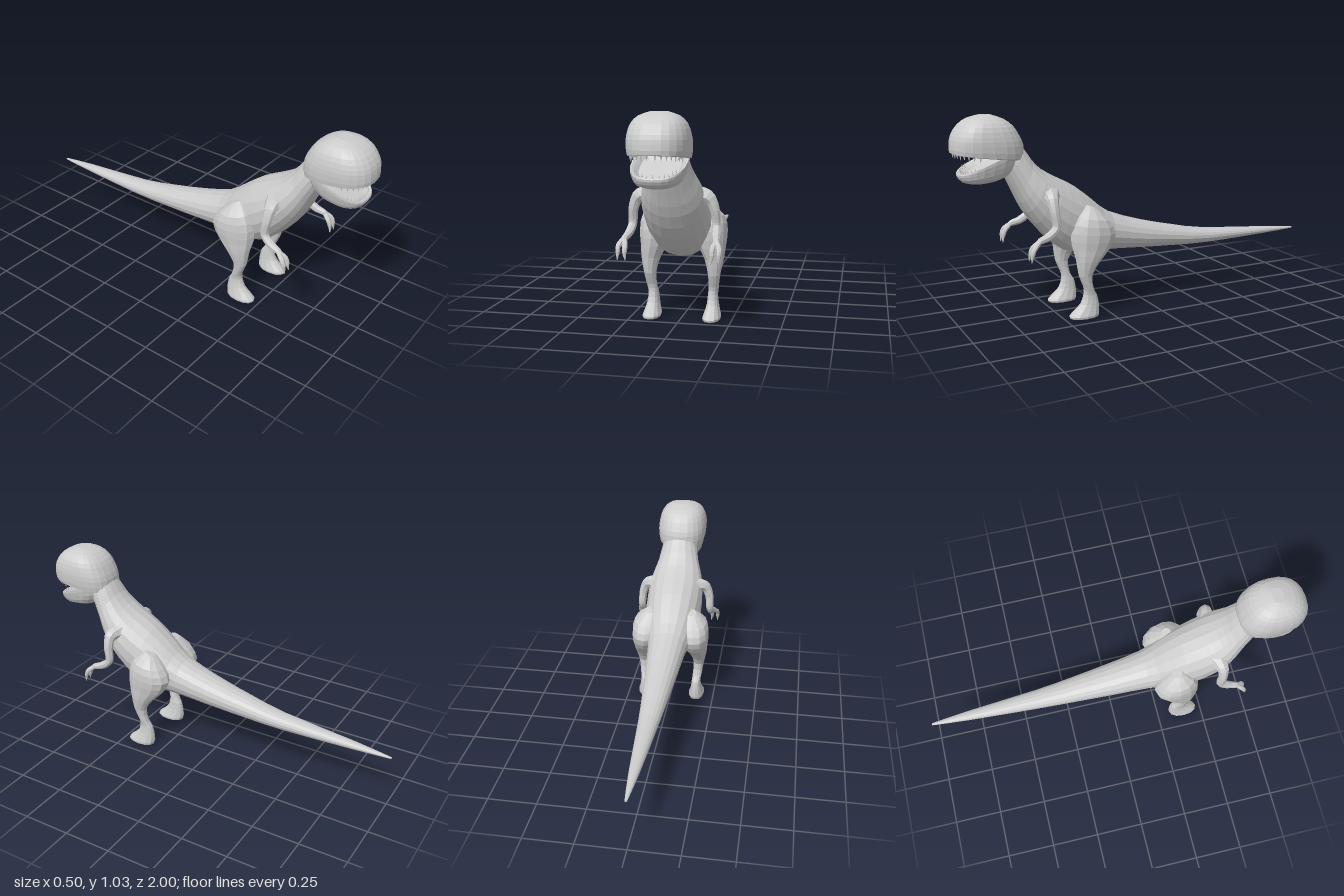
import * as THREE from 'three';

const material = new THREE.MeshStandardMaterial({ color: 0xcccccc, flatShading: true, side: THREE.DoubleSide });

// A section is [z1, y1, z2, y2, halfWidth, centreX]: a rounded ring between two points of the side profile.
function ringPoint(s, angle, power) {
  const soft = (v) => Math.sign(v) * Math.abs(v) ** (2 / power);
  const c = soft(Math.cos(angle)) / 2;
  return new THREE.Vector3(
    (s[5] || 0) + soft(Math.sin(angle)) * s[4],
    (s[1] + s[3]) / 2 + c * (s[1] - s[3]),
    (s[0] + s[2]) / 2 + c * (s[0] - s[2])
  );
}

// Smooth in-between sections
function refine(sections, steps) {
  const out = [];
  const last = sections.length - 1;
  for (let i = 0; i < last; i++) {
    const [a, b, c, d] = [i - 1, i, i + 1, i + 2].map((k) => sections[Math.min(last, Math.max(0, k))]);
    for (let j = 0; j < steps; j++) {
      const t = j / steps;
      out.push(b.map((v, k) => v + 0.5 * t * (c[k] - a[k] + t * (2 * a[k] - 5 * v + 4 * c[k] - d[k]
        + t * (3 * (v - c[k]) + d[k] - a[k])))));
    }
  }
  out.push(sections[last]);
  return out;
}

// Closed skin over a row of sections
function loft(name, sections, sides, steps, power) {
  const rings = refine(sections, steps);
  const pos = [];
  const index = [];
  for (const s of rings) {
    for (let j = 0; j < sides; j++) pos.push(...ringPoint(s, (j / sides) * Math.PI * 2, power).toArray());
  }
  for (let i = 0; i < rings.length - 1; i++) {
    for (let j = 0; j < sides; j++) {
      const a = i * sides + j;
      const b = i * sides + (j + 1) % sides;
      index.push(a, a + sides, b, b, a + sides, b + sides);
    }
  }
  const end = (rings.length - 1) * sides;
  for (const [start, s, flip] of [[0, rings[0], false], [end, rings[rings.length - 1], true]]) {
    const centre = pos.length / 3;
    pos.push(s[5] || 0, (s[1] + s[3]) / 2, (s[0] + s[2]) / 2);
    for (let j = 0; j < sides; j++) {
      const a = start + j;
      const b = start + (j + 1) % sides;
      index.push(centre, flip ? b : a, flip ? a : b);
    }
  }
  const geometry = new THREE.BufferGeometry();
  geometry.setAttribute('position', new THREE.Float32BufferAttribute(pos, 3));
  geometry.setIndex(index);
  return finish(name, geometry);
}

// Tapering tube through points [x, y, z, radius]
function limb(name, points, side) {
  const curve = new THREE.CatmullRomCurve3(points.map((p) => new THREE.Vector3(p[0] * side, p[1], p[2])));
  const n = 4 * (points.length - 1);
  const geometry = new THREE.TubeGeometry(curve, n, 1, 8);
  const p = geometry.attributes.position;
  const v = new THREE.Vector3();
  for (let i = 0; i <= n; i++) {
    const centre = curve.getPointAt(i / n);
    const k = Math.min(points.length - 2, Math.floor(i / 4));
    const r = THREE.MathUtils.lerp(points[k][3], points[k + 1][3], i / 4 - k);
    for (let j = i * 9; j < i * 9 + 9; j++) {
      v.fromBufferAttribute(p, j).sub(centre).multiplyScalar(r).add(centre);
      p.setXYZ(j, v.x, v.y, v.z);
    }
  }
  return finish(name, geometry);
}

function finish(name, geometry) {
  geometry.computeVertexNormals();
  const mesh = new THREE.Mesh(geometry, material);
  mesh.name = name;
  return mesh;
}

// Row of cone teeth along a lip section
function teeth(name, lip, count, spread, direction) {
  const row = new THREE.Group();
  row.name = name;
  for (let i = 0; i < count; i++) {
    const angle = ((i + 0.5) / count * 2 - 1) * spread;
    const tooth = finish('tooth', new THREE.ConeGeometry(0.006, i % 2 ? 0.03 : 0.024, 6));
    tooth.position.copy(ringPoint(lip, angle, 2.5));
    tooth.position.y += direction * 0.008;
    if (direction < 0) tooth.rotation.x = Math.PI;
    row.add(tooth);
  }
  return row;
}

export function createModel() {
  const model = new THREE.Group();
  model.name = 'dinosaur';

  // Tail, trunk and neck in one skin: top and bottom of each section
  model.add(loft('bodyAndTail', [
    [-1, 0.285, -1, 0.277, 0.006],
    [-0.8, 0.308, -0.8, 0.27, 0.026],
    [-0.4, 0.345, -0.42, 0.263, 0.053],
    [-0.2, 0.385, -0.2, 0.272, 0.07],
    [0, 0.435, 0, 0.285, 0.088],
    [0.19, 0.5, 0.2, 0.3, 0.107],
    [0.28, 0.57, 0.33, 0.305, 0.135],
    [0.38, 0.65, 0.44, 0.32, 0.153],
    [0.48, 0.705, 0.56, 0.42, 0.158],
    [0.555, 0.75, 0.65, 0.54, 0.145],
    [0.61, 0.805, 0.7, 0.64, 0.118],
    [0.65, 0.865, 0.75, 0.745, 0.1],
    [0.7, 0.89, 0.78, 0.8, 0.08],
  ], 18, 2, 2.1));

  // Skull, from the crown to the upper lip and the hollow palate
  model.add(loft('skull', [
    [0.86, 1.03, 0.8, 1.03, 0.04],
    [0.915, 1.015, 0.745, 1.01, 0.088],
    [0.96, 0.985, 0.7, 0.975, 0.119],
    [0.99, 0.94, 0.672, 0.93, 0.134],
    [1.0, 0.9, 0.652, 0.88, 0.138],
    [1.0, 0.857, 0.65, 0.815, 0.132],
    [0.98, 0.858, 0.67, 0.815, 0.112],
    [0.96, 0.875, 0.69, 0.83, 0.095],
  ], 24, 2, 2.5));

  // Lower jaw, from the hollow floor over the lip to the chin
  model.add(loft('lowerJaw', [
    [0.93, 0.738, 0.7, 0.845, 0.09],
    [0.95, 0.752, 0.685, 0.872, 0.108],
    [0.968, 0.757, 0.67, 0.88, 0.124],
    [0.972, 0.742, 0.675, 0.81, 0.117],
    [0.95, 0.715, 0.725, 0.745, 0.098],
    [0.9, 0.703, 0.78, 0.715, 0.05],
  ], 24, 2, 2.5));

  model.add(teeth('upperTeeth', [0.985, 0.852, 0.67, 0.81, 0.118], 14, 1.35, -1));
  model.add(teeth('lowerTeeth', [0.955, 0.752, 0.685, 0.875, 0.11], 11, 1.0, 1));

  for (const side of [1, -1]) {
    const label = side > 0 ? 'left' : 'right';

    // Thigh, shin and foot: front and back of each section
    model.add(loft(label + 'Leg', [
      [0.36, 0.57, 0.31, 0.55, 0.03, 0.115],
      [0.425, 0.52, 0.25, 0.49, 0.074, 0.13],
      [0.455, 0.44, 0.215, 0.42, 0.083, 0.135],
      [0.45, 0.36, 0.25, 0.35, 0.066, 0.145],
      [0.437, 0.3, 0.31, 0.29, 0.047, 0.158],
      [0.425, 0.22, 0.355, 0.22, 0.03, 0.16],
      [0.4, 0.16, 0.345, 0.145, 0.026, 0.155],
      [0.397, 0.12, 0.325, 0.11, 0.025, 0.15],
      [0.415, 0.07, 0.315, 0.065, 0.03, 0.15],
      [0.455, 0.033, 0.313, 0.03, 0.039, 0.15],
      [0.475, 0.012, 0.315, 0.012, 0.045, 0.15],
      [0.47, 0, 0.32, 0, 0.042, 0.15],
    ].map((s) => [...s.slice(0, 5), s[5] * side]), 12, 2, 2.2));

    // Arm with two fingers
    const arm = new THREE.Group();
    arm.name = label + 'Arm';
    arm.add(limb('upperArmAndForearm', [
      [0.08, 0.63, 0.54, 0.065],
      [0.165, 0.625, 0.56, 0.042],
      [0.193, 0.57, 0.56, 0.027],
      [0.2, 0.49, 0.555, 0.023],
      [0.207, 0.452, 0.6, 0.021],
      [0.215, 0.435, 0.65, 0.021],
      [0.217, 0.41, 0.675, 0.016],
      [0.217, 0.395, 0.68, 0],
    ], side));
    for (const [x, tip] of [[0.235, 0.236], [0.203, 0.198]]) {
      arm.add(limb('finger', [
        [0.216, 0.438, 0.645, 0.012],
        [x, 0.405, 0.682, 0.013],
        [x, 0.37, 0.693, 0.011],
        [tip, 0.343, 0.697, 0.002],
      ], side));
    }
    model.add(arm);
  }
  return model;
}
